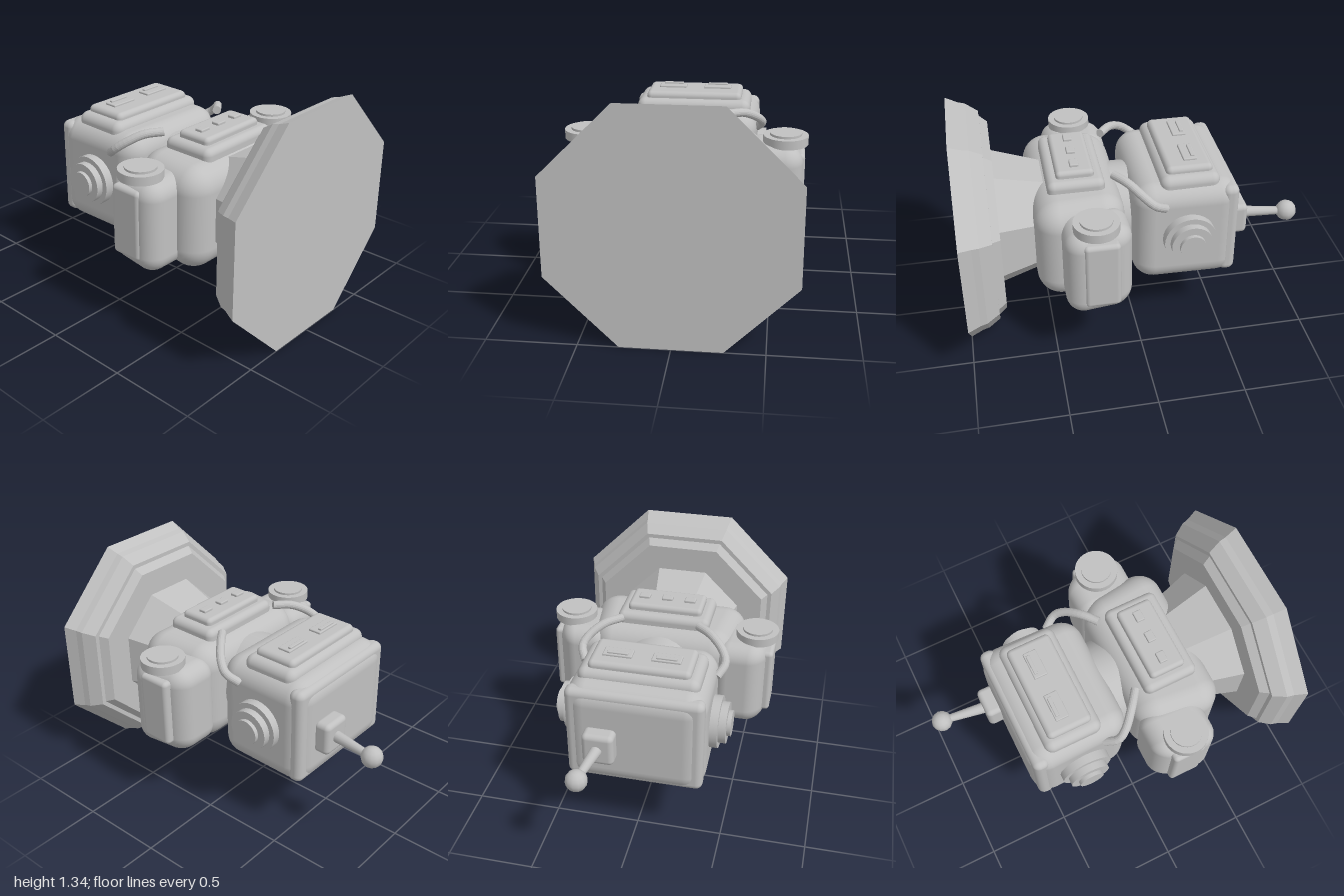
import * as THREE from 'three';
import { RoundedBoxGeometry } from 'three/addons/geometries/RoundedBoxGeometry.js';

const CY = 0.67; // height of the robot's long axis, which runs along z

export function createModel() {
  const root = new THREE.Group();
  const grey = new THREE.MeshStandardMaterial({ color: 0xc0c0c0 });
  grey.name = 'grey';

  const add = (name, geometry) => {
    const mesh = new THREE.Mesh(geometry, grey);
    mesh.name = name;
    root.add(mesh);
    return mesh;
  };

  // Rounded box given by its extents on each axis
  const box = (name, [x0, x1], [y0, y1], [z0, z1], r, shape) => {
    const g = new RoundedBoxGeometry(x1 - x0, y1 - y0, z1 - z0, 5, r);
    g.translate((x0 + x1) / 2, (y0 + y1) / 2, (z0 + z1) / 2);
    if (shape) {
      const p = g.attributes.position;
      const v = new THREE.Vector3();
      for (let i = 0; i < p.count; i++) {
        shape(v.fromBufferAttribute(p, i));
        p.setXYZ(i, v.x, v.y, v.z);
      }
    }
    return add(name, g);
  };

  // Octagonal stepped base and tapering waist, faceted
  const profile = [
    [0, 0.48], [0.285, 0.48], [0.37, 0.775], [0.525, 0.775], [0.56, 0.82],
    [0.585, 0.82], [0.63, 0.89], [0.64, 0.93], [0.67, 1], [0, 1],
  ].map(([a, z]) => new THREE.Vector2(a / Math.cos(Math.PI / 8), z));
  const base = new THREE.LatheGeometry(profile, 8, Math.PI / 8).toNonIndexed();
  base.computeVertexNormals();
  base.rotateX(Math.PI / 2);
  base.translate(0, CY, 0);
  add('base', base);

  // Torso, narrower toward the neck
  box('torso', [-0.475, 0.475], [0.36, 0.975], [0.065, 0.58], 0.14, (v) => {
    v.x *= 0.88 + 0.12 * Math.min(1, Math.max(0, (v.z - 0.065) / 0.35));
  });
  box('chestPanel', [-0.28, 0.28], [0.88, 1.035], [0.165, 0.49], 0.04);
  box('chestScreen', [-0.225, 0.225], [0.95, 1.075], [0.22, 0.435], 0.025);
  for (const x of [-0.14, 0, 0.14]) {
    box('chestButton', [x - 0.033, x + 0.033], [1.04, 1.09], [0.3, 0.35], 0.006);
  }

  // Neck
  const neck = new THREE.CylinderGeometry(0.265, 0.265, 0.2, 32);
  neck.rotateX(Math.PI / 2);
  neck.translate(0, CY, 0.04);
  add('neck', neck);

  // Head, crown plate and face
  box('head', [-0.4, 0.4], [0.345, 0.99], [-0.6, 0.015], 0.12, (v) => {
    v.x *= 1 - 0.05 * Math.max(0, (v.z + 0.2) / 0.2);
  });
  box('crownPlate', [-0.392, 0.392], [0.378, 0.966], [-0.587, -0.49], 0.04);
  box('facePanel', [-0.345, 0.345], [0.9, 1.035], [-0.485, -0.14], 0.05);
  box('faceScreen', [-0.29, 0.29], [0.96, 1.073], [-0.448, -0.18], 0.03);
  for (const s of [-1, 1]) {
    const x = 0.138 * s;
    box('eye', [x - 0.083, x + 0.083], [1.04, 1.085], [-0.37, -0.29], 0.006);
    box('eyelid', [x - 0.06, x + 0.06], [1.07, 1.095], [-0.36, -0.337], 0.004);
  }

  // Antenna on the crown
  box('antennaMount', [0.09, 0.272], [0.55, 0.745], [-0.685, -0.58], 0.03);
  const from = new THREE.Vector3(0.185, 0.648, -0.67);
  const to = new THREE.Vector3(0.22, 0.648, -0.92);
  const rod = add('antennaRod', new THREE.CylinderGeometry(0.022, 0.034, from.distanceTo(to), 16));
  rod.position.copy(from).lerp(to, 0.5);
  rod.quaternion.setFromUnitVectors(new THREE.Vector3(0, 1, 0), to.clone().sub(from).normalize());
  add('antennaBall', new THREE.SphereGeometry(0.062, 12, 8)).position.set(0.22, 0.648, -0.938);

  const ring = new THREE.Shape();
  ring.absarc(0, 0, 0.025, 0, Math.PI * 2);

  for (const s of [-1, 1]) {
    const span = (a, b) => (s > 0 ? [a, b] : [-b, -a]);

    // Arm with side plate and round shoulder cap
    box('arm', span(0.33, 0.665), [0.39, 0.93], [0.065, 0.445], 0.1, (v) => {
      if (v.z < 0.25) v.x -= s * 0.3 * (0.25 - v.z) * Math.max(0, (Math.abs(v.x) - 0.33) / 0.335);
    });
    box('armPlate', span(0.6, 0.676), [0.465, 0.88], [0.148, 0.348], 0.025);
    for (const [r, y0, y1] of [[0.127, 0.92, 0.972], [0.09, 0.96, 0.985]]) {
      const cap = add('shoulderCap', new THREE.CylinderGeometry(r, r, y1 - y0, 32));
      cap.position.set(0.565 * s, (y0 + y1) / 2, 0.265);
    }

    // Stepped ear discs
    for (const [r, x] of [[0.152, 0.445], [0.12, 0.487], [0.075, 0.51]]) {
      const ear = new THREE.CylinderGeometry(r, r, x - 0.3, 32);
      ear.rotateZ(Math.PI / 2);
      ear.translate(s * (x + 0.3) / 2, CY, -0.295);
      add('ear', ear);
    }

    // Hose from the chest to the side of the head
    const path = new THREE.CatmullRomCurve3([
      [0.23, 1.035, 0.115], [0.32, 1.025, 0.045], [0.4, 0.975, -0.03],
      [0.425, 0.93, -0.085], [0.39, 0.88, -0.155],
    ].map(([x, y, z]) => new THREE.Vector3(s * x, y, z)));
    add('hose', new THREE.ExtrudeGeometry(ring, {
      extrudePath: path, steps: 16, curveSegments: 8, bevelEnabled: false,
    }));
  }

  return root;
}
